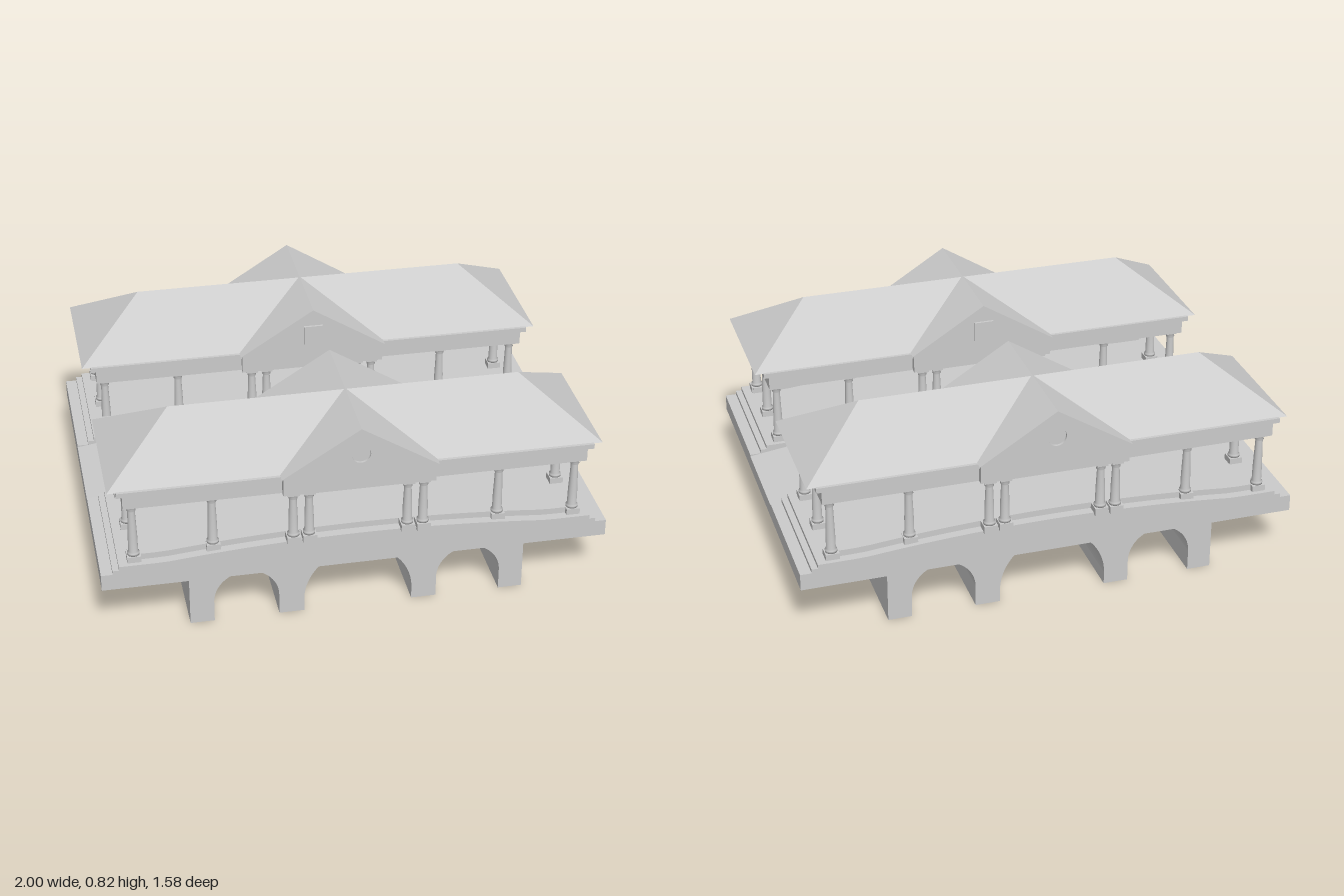
import * as THREE from 'three';

const mat = new THREE.MeshStandardMaterial({ color: 0xcccccc, flatShading: true });
const smooth = new THREE.MeshStandardMaterial({ color: 0xcccccc });
const ZC = 0.48; // pavilion centre line

const add = (parent, name, geo, m = mat) => {
  const mesh = new THREE.Mesh(geo, m);
  mesh.name = name;
  parent.add(mesh);
  return mesh;
};

// box given by its limits
const box = (parent, name, x0, x1, y0, y1, z0, z1) =>
  add(parent, name, new THREE.BoxGeometry(x1 - x0, y1 - y0, z1 - z0))
    .position.set((x0 + x1) / 2, (y0 + y1) / 2, (z0 + z1) / 2);

// shape extruded along z between two limits
const slab = (parent, name, shape, z0, z1, curveSegments = 20) =>
  add(parent, name, new THREE.ExtrudeGeometry(shape, { depth: z1 - z0, bevelEnabled: false, curveSegments }))
    .position.z = z0;

// height of the arched walkway and of the road
const floorY = x => 0.3 + 0.037 * Math.max(0, 1 - (x / 0.75) ** 2);
const roadY = x => 0.26 + 0.075 * (1 - x * x);

// points along a height curve, from +a to -a
const curve = (f, a, n = 32) =>
  Array.from({ length: n + 1 }, (_, i) => {
    const x = a - (2 * a * i) / n;
    return new THREE.Vector2(x, f(x));
  });

// piers, arches and road in one cross-section
function bridgeShape() {
  const s = new THREE.Shape();
  s.moveTo(-1, 0.2);
  s.lineTo(-0.665, 0.2);
  s.lineTo(-0.665, 0);
  const arches = [[-0.442, 0.128, 0.088], [0, 0.215, 0.053], [0.442, 0.128, 0.088]];
  for (const [cx, r, cy] of arches) {
    s.lineTo(cx - r, 0);
    s.lineTo(cx - r, cy);
    s.absarc(cx, cy, r, Math.PI, 0, true);
    s.lineTo(cx + r, 0);
  }
  s.lineTo(0.665, 0);
  s.lineTo(0.665, 0.2);
  s.lineTo(1, 0.2);
  for (const p of curve(roadY, 1)) s.lineTo(p.x, p.y);
  return s;
}

// raised walkway with steps at both ends
function walkwayShape() {
  const steps = [[1, 0.2], [1, 0.268], [0.955, 0.268], [0.955, 0.284], [0.93, 0.284], [0.93, 0.3]];
  const left = steps.map(([x, y]) => new THREE.Vector2(-x, y)).reverse();
  const right = steps.map(([x, y]) => new THREE.Vector2(x, y));
  return new THREE.Shape([...right, ...curve(floorY, 0.905), ...left]);
}

// low kerb that follows the walkway
function kerbShape() {
  const top = curve(x => floorY(x) + 0.025, 0.89);
  const bottom = curve(x => floorY(x) - 0.005, 0.89).reverse();
  return new THREE.Shape([...top, ...bottom]);
}

// hipped roof: eave rectangle rising to a ridge
function hipRoof(ex, ez, ridge, y0, y1) {
  const a = [-ex, y0, ez], b = [ex, y0, ez], c = [ex, y0, -ez], d = [-ex, y0, -ez];
  const l = [-ridge, y1, 0], r = [ridge, y1, 0];
  const faces = [a, b, r, a, r, l, c, d, l, c, l, r, b, c, r, d, a, l, a, d, c, a, c, b];
  const g = new THREE.BufferGeometry();
  g.setAttribute('position', new THREE.Float32BufferAttribute(faces.flat(), 3));
  g.computeVertexNormals();
  return g;
}

// column on a square pedestal, reaching up to the beam
function column(parent, x, z) {
  const g = new THREE.Group();
  g.name = 'column';
  const y = floorY(x), h = 0.556 - y;
  g.position.set(x, y, z);
  box(g, 'pedestal', -0.027, 0.027, -0.006, 0.025, -0.027, 0.027);
  const profile = [[0, 0.025], [0.024, 0.025], [0.024, 0.035], [0.019, 0.04], [0.0185, 0.1],
    [0.0145, h - 0.035], [0.0185, h - 0.03], [0.0165, h - 0.025], [0.022, h - 0.012]];
  add(g, 'shaft', new THREE.LatheGeometry(profile.map(p => new THREE.Vector2(...p)), 16), smooth);
  box(g, 'capital', -0.023, 0.023, h - 0.013, h, -0.023, 0.023);
  parent.add(g);
}

// gable triangle
const gable = () => new THREE.Shape([[-0.305, 0.635], [0.305, 0.635], [0, 0.825]]
  .map(p => new THREE.Vector2(...p)));

function pavilion() {
  const g = new THREE.Group();
  g.name = 'pavilion';
  slab(g, 'walkway', walkwayShape(), 0.205, 0.755);
  slab(g, 'kerb', kerbShape(), 0.678, 0.718);

  // colonnade: outer and inner rows plus one column in the middle of each end
  for (const sx of [-1, 1]) {
    for (const sz of [-1, 1]) {
      for (const x of [0.868, 0.562]) column(g, sx * x, ZC + sz * 0.23);
      for (const x of [0.255, 0.193]) column(g, sx * x, ZC + sz * 0.265);
    }
    column(g, sx * 0.868, ZC);
  }

  // beams and main roof
  box(g, 'beam', -0.903, 0.903, 0.555, 0.617, 0.208, 0.752);
  box(g, 'cornice', -0.925, 0.925, 0.615, 0.635, 0.195, 0.765);
  add(g, 'hipRoof', hipRoof(0.96, 0.275, 0.69, 0.633, 0.822)).position.z = ZC;

  // cross gable with a round recess outside and a square panel inside
  box(g, 'porticoBeam', -0.297, 0.297, 0.555, 0.636, 0.183, 0.777);
  slab(g, 'crossGable', gable(), 0.17, 0.78);
  const face = gable();
  const hole = new THREE.Path();
  hole.absarc(0, 0.715, 0.037, 0, Math.PI * 2, true);
  face.holes.push(hole);
  slab(g, 'gableFace', face, 0.78, 0.79);
  box(g, 'gablePanel', -0.04, 0.04, 0.672, 0.755, 0.16, 0.172);
  return g;
}

export function createModel() {
  const model = new THREE.Group();
  model.name = 'coveredBridge';
  slab(model, 'archedBridge', bridgeShape(), -0.755, 0.755);
  const front = pavilion();
  const back = pavilion();
  back.rotation.y = Math.PI;
  model.add(front, back);
  return model;
}
